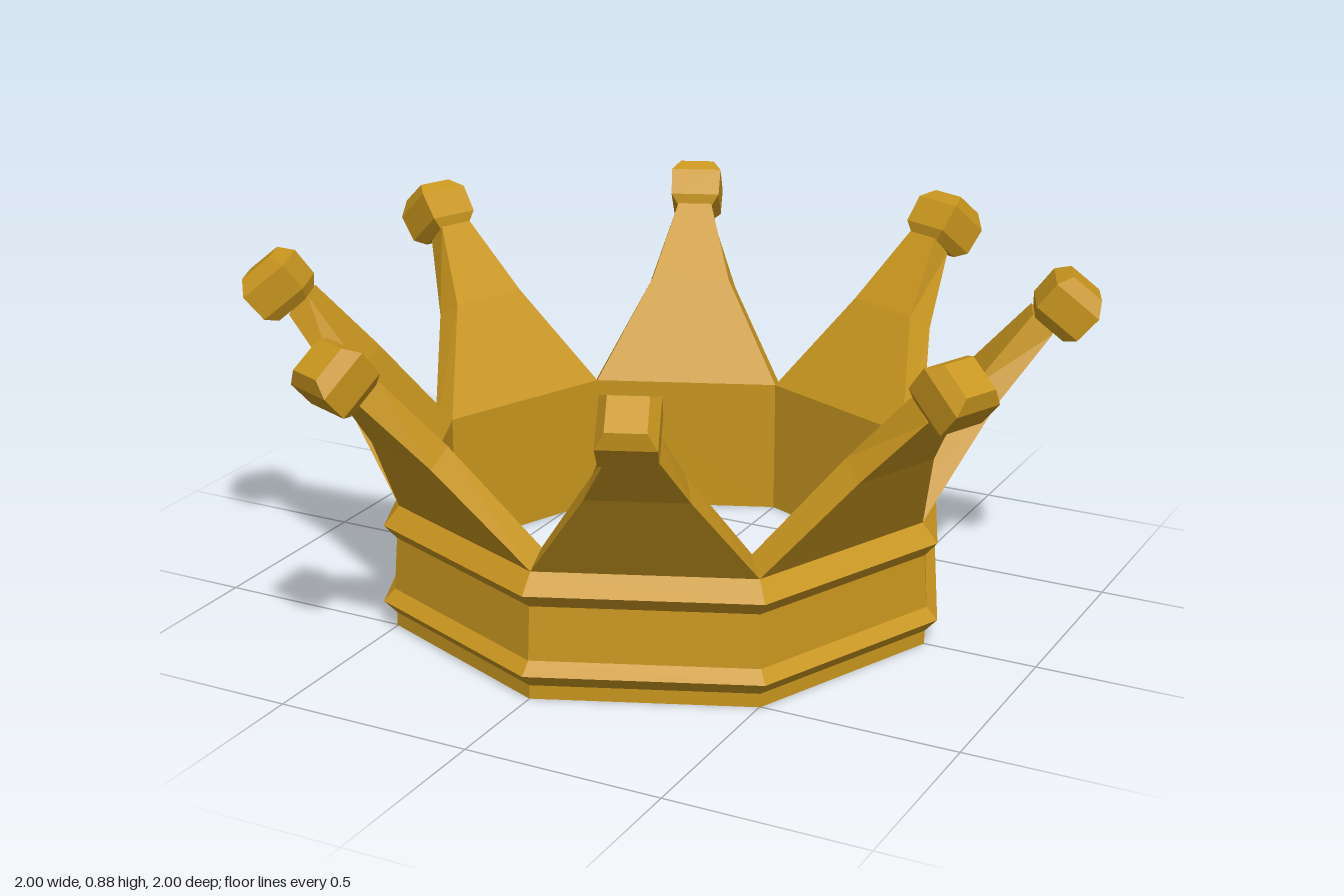
import * as THREE from 'three';

const gold = new THREE.MeshStandardMaterial({ color: 0xc9961f, flatShading: true });
const SIDES = 8;

// Four corners of a section: outer pair then inner pair, mirrored in x.
// Each end is [half width, y, z].
function section([wo, yo, zo], [wi, yi, zi]) {
  return [[-wo, yo, zo], [wo, yo, zo], [wi, yi, zi], [-wi, yi, zi]];
}

// Faceted skin over four-cornered sections listed from bottom to top
function loft(sections, capStart, capEnd) {
  const index = [];
  for (let s = 0; s < sections.length - 1; s++) {
    for (let i = 0; i < 4; i++) {
      const a = s * 4 + i, b = s * 4 + (i + 1) % 4;
      index.push(a, b, b + 4, a, b + 4, a + 4);
    }
  }
  const e = (sections.length - 1) * 4;
  if (capStart) index.push(0, 2, 1, 0, 3, 2);
  if (capEnd) index.push(e, e + 1, e + 2, e, e + 2, e + 3);
  const indexed = new THREE.BufferGeometry();
  indexed.setAttribute('position', new THREE.Float32BufferAttribute(sections.flat(2), 3));
  indexed.setIndex(index);
  const geometry = indexed.toNonIndexed();
  geometry.computeVertexNormals();
  return geometry;
}

// Leaning spike spanning one whole side of the band, narrowing to its tip
function spikeGeometry() {
  const half = Math.PI / SIDES;
  const outer = 0.695, inner = 0.64;
  return loft([
    section([outer * Math.sin(half), 0.32, outer * Math.cos(half)],
      [inner * Math.sin(half), 0.36, inner * Math.cos(half)]),
    section([0.12, 0.57, 0.81], [0.105, 0.61, 0.75]),
    section([0.046, 0.735, 0.945], [0.046, 0.785, 0.895]),
  ], false, true);
}

// Chamfered square knob, built along the direction of the tip
function knobGeometry() {
  const dz = 0.64, dy = 0.77;
  const rings = [[-0.062, 0.046], [-0.035, 0.066], [0.04, 0.068], [0.076, 0.046]];
  return loft(rings.map(([d, h]) => {
    const y = 0.795 + d * dy, z = 0.975 + d * dz;
    return section([h, y - h * dy * 0.83, z + h * dy], [h, y + h * dy * 0.83, z - h * dy]);
  }), true, true);
}

export function createModel() {
  const crown = new THREE.Group();
  crown.name = 'crown';

  // Eight-sided band with two raised rings: inner wall, underside, outer wall
  const profile = [
    [0.64, 0.36], [0.64, 0], [0.71, 0], [0.71, 0.035], [0.742, 0.07], [0.713, 0.1],
    [0.703, 0.235], [0.735, 0.272], [0.695, 0.32],
  ].map(([r, y]) => new THREE.Vector2(r, y));
  const band = new THREE.Mesh(new THREE.LatheGeometry(profile, SIDES), gold);
  band.name = 'band';
  crown.add(band);

  // One spike and knob on each side of the band
  const spikeShape = spikeGeometry();
  const knobShape = knobGeometry();
  for (let i = 0; i < SIDES; i++) {
    const point = new THREE.Group();
    point.name = 'crownPoint' + (i + 1);
    const spike = new THREE.Mesh(spikeShape, gold);
    spike.name = 'spike';
    const knob = new THREE.Mesh(knobShape, gold);
    knob.name = 'knob';
    point.add(spike, knob);
    point.rotation.y = (i + 0.5) * 2 * Math.PI / SIDES;
    crown.add(point);
  }
  return crown;
}
